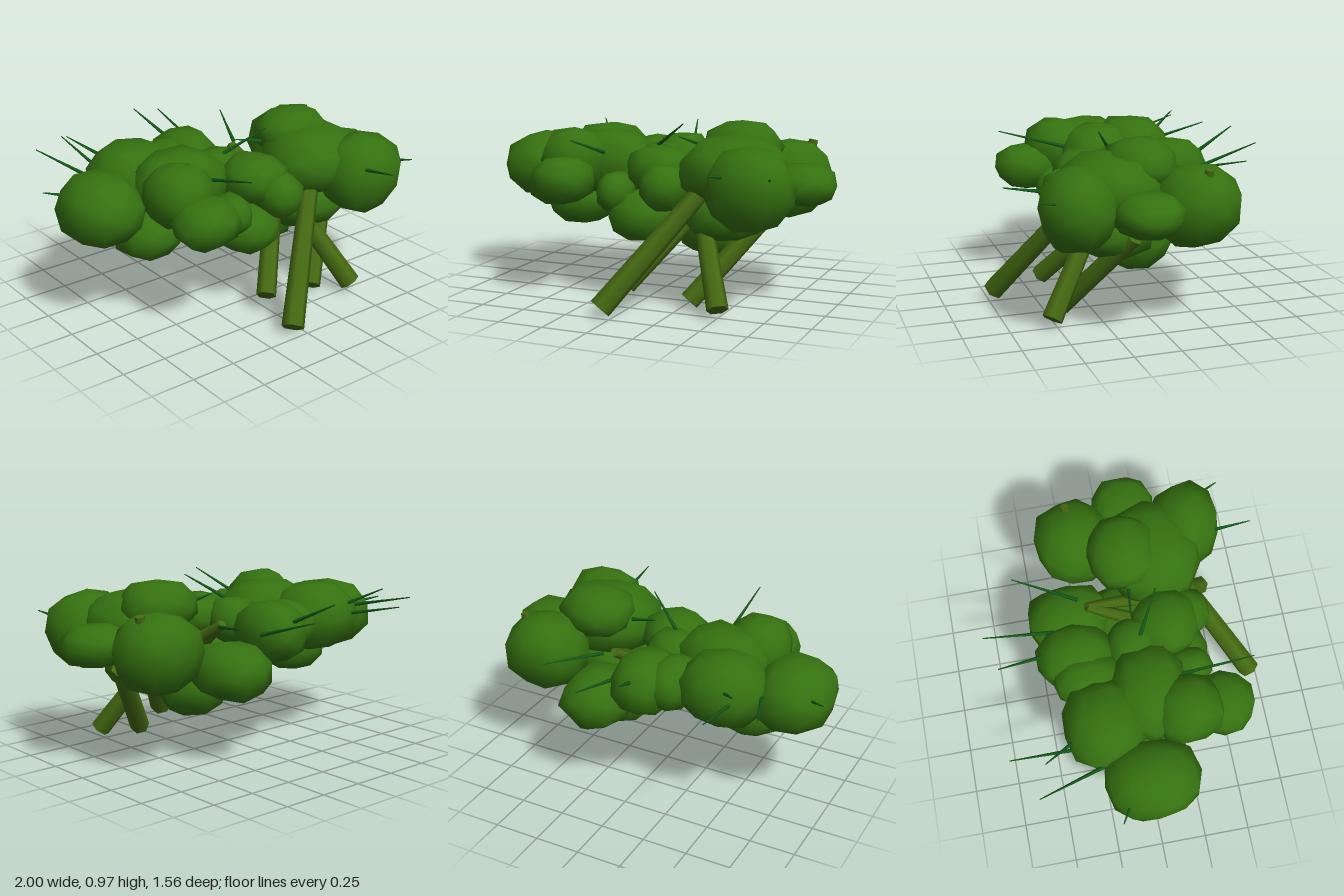
import * as THREE from 'three';
import { mergeVertices } from 'three/addons/utils/BufferGeometryUtils.js';

const leafMat = new THREE.MeshStandardMaterial({ color: 0x357210 });
const stemMat = new THREE.MeshStandardMaterial({ color: 0x456a12 });
const thornMat = new THREE.MeshStandardMaterial({ color: 0x145a18 });
const UP = new THREE.Vector3(0, 1, 0);

// Small seeded generator for the uneven foliage
let seed = 7;
const rand = () => (seed = (seed * 16807) % 2147483647) / 2147483647;

// Low-poly lump: welded icosphere, uneven and boxy, smooth normals, exact size
function clump([x, y, z, rx, ry, rz]) {
  let geo = new THREE.IcosahedronGeometry(1, 1);
  geo.deleteAttribute('normal');
  geo.deleteAttribute('uv');
  geo = mergeVertices(geo, 1e-3);
  const p = geo.attributes.position;
  const v = new THREE.Vector3();
  const turn = rand() * Math.PI * 2;
  for (let i = 0; i < p.count; i++) {
    v.fromBufferAttribute(p, i).applyAxisAngle(UP, turn);
    const boxy = Math.abs(v.x) ** 2.4 + Math.abs(v.y) ** 2.4 + Math.abs(v.z) ** 2.4;
    v.multiplyScalar((0.94 + 0.12 * rand()) / boxy ** (1 / 2.4));
    p.setXYZ(i, v.x, v.y, v.z);
  }
  geo.center();
  geo.computeBoundingBox();
  const half = geo.boundingBox.max;
  geo.scale(rx / half.x, ry / half.y, rz / half.z);
  geo.computeVertexNormals();
  const mesh = new THREE.Mesh(geo, leafMat);
  mesh.position.set(x, y, z);
  return mesh;
}

// Tapered rod between two points
function rod(a, b, ra, rb, sides, mat) {
  const from = new THREE.Vector3(...a), to = new THREE.Vector3(...b);
  const dir = to.clone().sub(from);
  const mesh = new THREE.Mesh(new THREE.CylinderGeometry(rb, ra, dir.length(), sides), mat);
  mesh.position.copy(from).add(to).multiplyScalar(0.5);
  mesh.quaternion.setFromUnitVectors(UP, dir.normalize());
  return mesh;
}

export function createModel() {
  seed = 7;
  const model = new THREE.Group();
  model.name = 'shrub';
  const add = (name, items, make) => {
    const group = new THREE.Group();
    group.name = name + 's';
    items.forEach((item) => {
      const mesh = make(item);
      mesh.name = name;
      group.add(mesh);
    });
    model.add(group);
  };

  // Foliage: centre x, y, z and radii x, y, z
  add('foliageClump', [
    // right side
    [-0.78, 0.65, -0.02, 0.21, 0.19, 0.26],
    [-0.45, 0.69, -0.22, 0.24, 0.19, 0.22],
    [-0.31, 0.70, 0.04, 0.27, 0.18, 0.21],
    [-0.46, 0.73, 0.23, 0.18, 0.17, 0.19],
    [-0.43, 0.63, 0.42, 0.17, 0.13, 0.18],
    [-0.51, 0.46, 0.03, 0.19, 0.13, 0.19],
    // middle
    [-0.03, 0.66, -0.31, 0.16, 0.17, 0.21],
    [-0.17, 0.68, -0.27, 0.14, 0.14, 0.18],
    [0.26, 0.49, -0.30, 0.19, 0.16, 0.23],
    [-0.03, 0.68, 0.00, 0.14, 0.13, 0.14],
    [0.06, 0.69, 0.20, 0.18, 0.13, 0.18],
    [0.13, 0.62, 0.32, 0.13, 0.13, 0.15],
    [-0.17, 0.57, 0.31, 0.10, 0.11, 0.12],
    [-0.03, 0.44, 0.25, 0.18, 0.14, 0.19],
    [0.27, 0.37, 0.00, 0.19, 0.16, 0.20],
    // left side
    [0.43, 0.47, 0.19, 0.24, 0.14, 0.22],
    [0.47, 0.82, 0.04, 0.21, 0.14, 0.19],
    [0.48, 0.71, 0.20, 0.29, 0.19, 0.27],
    [0.66, 0.62, -0.20, 0.23, 0.22, 0.22],
    [0.82, 0.64, 0.11, 0.18, 0.11, 0.18],
    [0.64, 0.66, 0.43, 0.23, 0.22, 0.20],
  ], clump);

  // Leaning stems and the short forked tips at the centre
  add('stem', [
    [[-0.07, 0.03, 0.71], [0.35, 0.62, 0.34], 0.062, 0.05],
    [[-0.04, 0.10, 0.45], [0.25, 0.48, 0.15], 0.055, 0.05],
    [[0.31, 0.04, 0.42], [0.65, 0.49, 0.13], 0.055, 0.05],
    [[0.51, 0.04, 0.53], [0.34, 0.42, 0.29], 0.058, 0.05],
    [[0.34, 0.42, 0.29], [0.22, 0.72, -0.20], 0.05, 0.025],
    [[0.17, 0.55, 0.05], [0.22, 0.72, -0.20], 0.04, 0.025],
  ], ([a, b, ra, rb]) => rod(a, b, ra, rb, 6, stemMat));

  // Thin thorns, base to tip
  add('thorn', [
    [[-0.68, 0.72, -0.26], [-0.81, 0.80, -0.62]],
    [[-0.56, 0.70, -0.36], [-0.58, 0.79, -0.74]],
    [[-0.52, 0.76, -0.38], [-0.65, 0.86, -0.56]],
    [[-0.03, 0.74, -0.48], [-0.10, 0.86, -0.72]],
    [[0.12, 0.68, -0.40], [0.11, 0.80, -0.78]],
    [[0.27, 0.72, -0.24], [0.43, 0.78, -0.58]],
    [[-0.86, 0.70, -0.14], [-1.00, 0.73, -0.22]],
    [[-0.27, 0.76, 0.20], [-0.28, 0.88, 0.61]],
    [[0.54, 0.73, 0.55], [0.54, 0.77, 0.78]],
    [[0.77, 0.72, 0.52], [0.82, 0.75, 0.65]],
    [[-0.03, 0.80, 0.05], [0.17, 0.94, 0.17]],
    [[0.24, 0.81, 0.04], [0.08, 0.85, 0.02]],
  ], ([a, b]) => rod(a, b, 0.012, 0.003, 5, thornMat));

  // Small twig stub on the left clump
  const stub = rod([0.76, 0.74, -0.21], [0.78, 0.84, -0.22], 0.03, 0.025, 6, stemMat);
  stub.name = 'twigStub';
  model.add(stub);
  return model;
}
